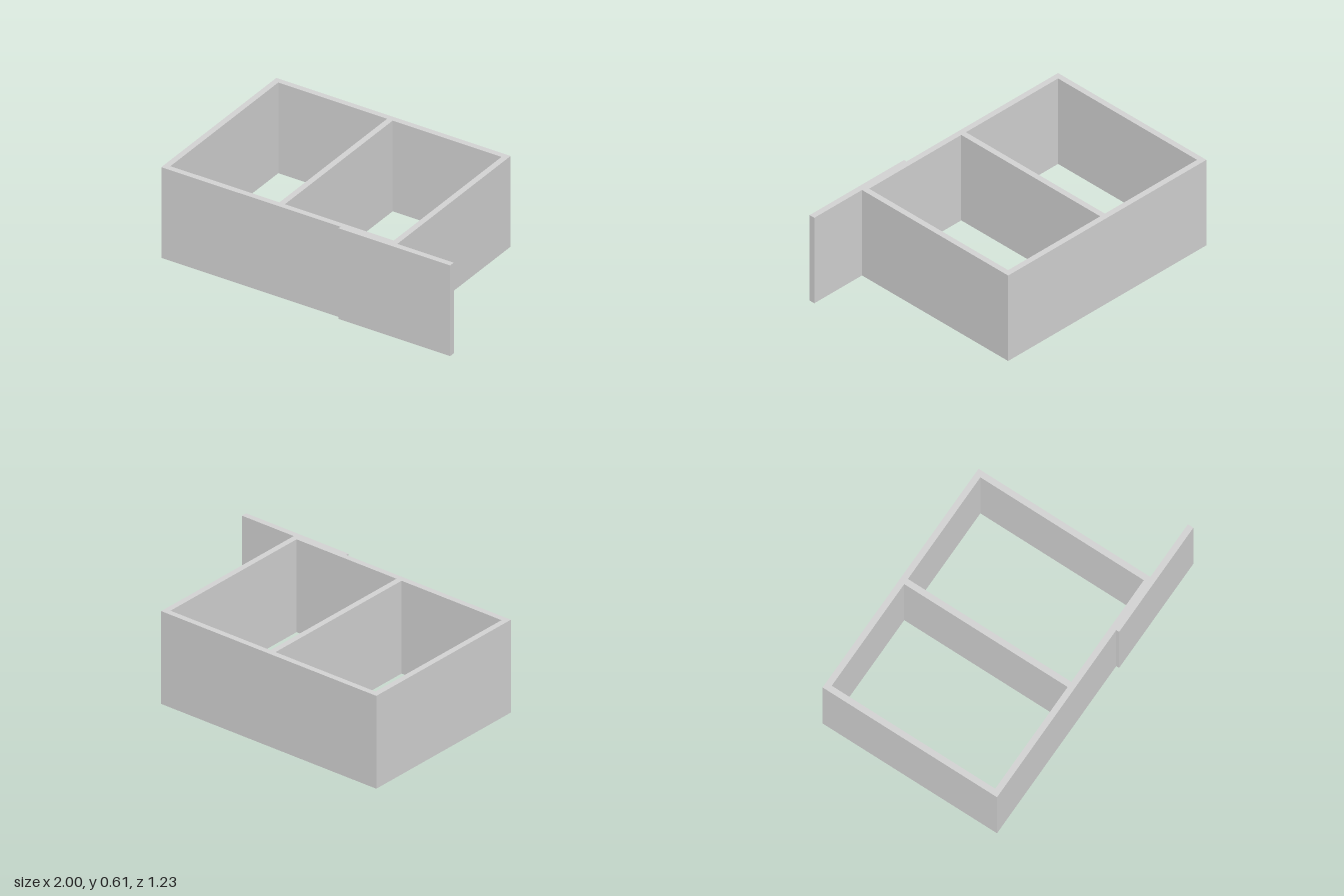
import * as THREE from 'three';

const HEIGHT = 0.606;

// Adds a closed rectangle to a shape or path
function rect(path, x0, z0, x1, z1) {
  path.moveTo(x0, z0);
  path.lineTo(x1, z0);
  path.lineTo(x1, z1);
  path.lineTo(x0, z1);
  path.closePath();
  return path;
}

export function createModel() {
  const group = new THREE.Group();
  const lightGrey = new THREE.MeshStandardMaterial({ color: 0xd3d3d3 });
  lightGrey.name = 'lightGrey';

  // Open frame: outer walls and divider around two through bays.
  // Shape y becomes -z once the extrusion is stood upright.
  const plan = rect(new THREE.Shape(), -1, -0.594, 0.612, 0.614);
  for (const [x0, x1] of [[-0.962, -0.213], [-0.175, 0.574]]) {
    plan.holes.push(rect(new THREE.Path(), x0, -0.556, x1, 0.576));
  }
  const frameGeometry = new THREE.ExtrudeGeometry(plan, { depth: HEIGHT, bevelEnabled: false });
  frameGeometry.rotateX(-Math.PI / 2);
  const frame = new THREE.Mesh(frameGeometry, lightGrey);
  frame.name = 'dividedFrame';
  group.add(frame);

  // Sliding panel let into the front wall and pushed out to the side
  const panel = new THREE.Mesh(new THREE.BoxGeometry(0.768, HEIGHT, 0.038), lightGrey);
  panel.name = 'slidingPanel';
  panel.position.set(0.616, HEIGHT / 2, 0.595);
  group.add(panel);

  return group;
}
